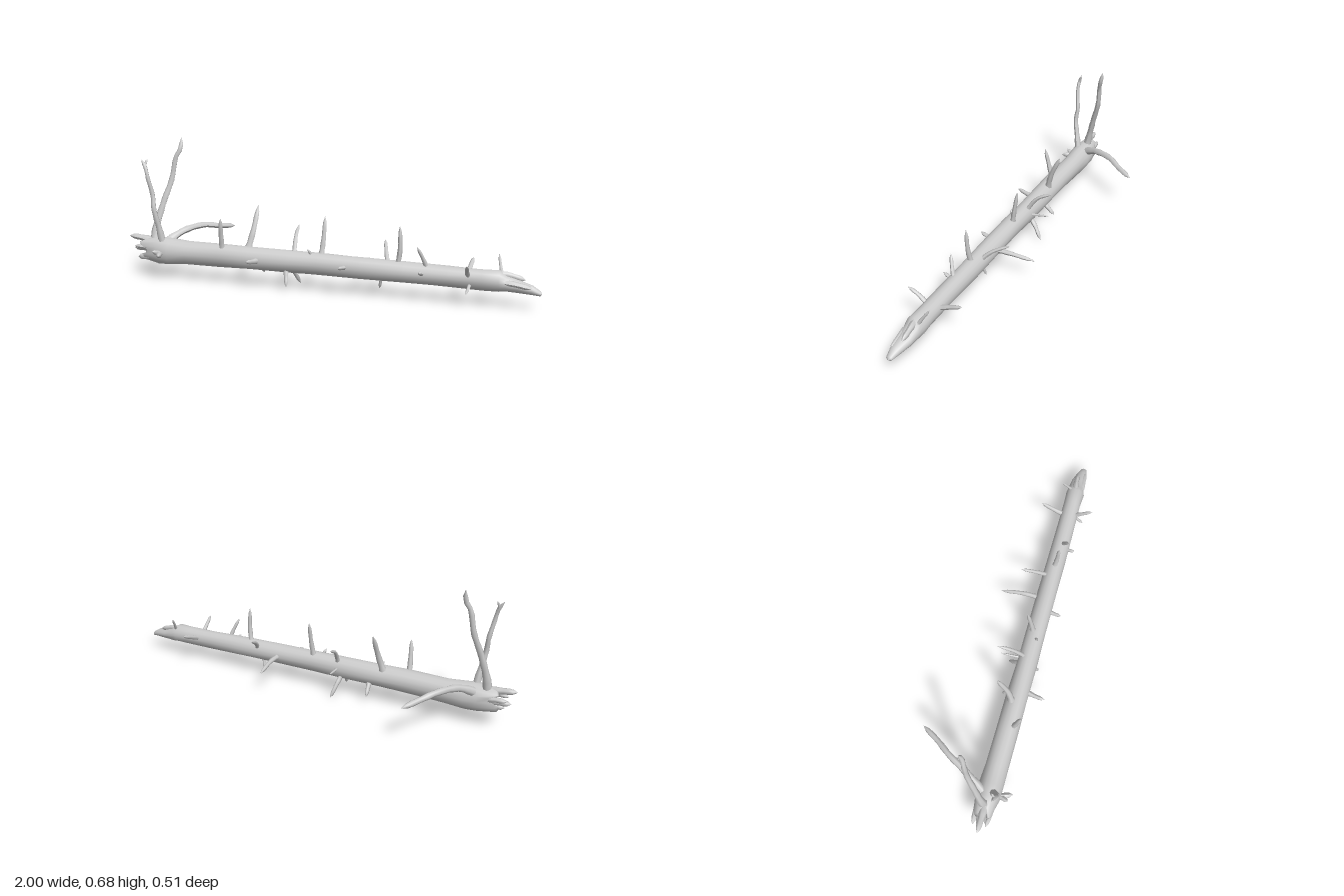
import * as THREE from 'three';

const material = new THREE.MeshStandardMaterial({ color: 0xcccccc, side: THREE.DoubleSide });
const v = (p) => new THREE.Vector3(...p);

function add(group, geometry, name) {
  geometry.computeVertexNormals();
  const mesh = new THREE.Mesh(geometry, material);
  mesh.name = name;
  group.add(mesh);
}

// Closed skin through rings of equal length; rings run along +x
function skin(rings, sides) {
  const pos = rings.flat(2), idx = [];
  for (let i = 0; i < rings.length - 1; i++) {
    for (let j = 0; j < sides; j++) {
      const a = i * sides + j, b = i * sides + (j + 1) % sides;
      idx.push(a, b, a + sides, b, b + sides, a + sides);
    }
  }
  const g = new THREE.BufferGeometry();
  g.setAttribute('position', new THREE.Float32BufferAttribute(pos, 3));
  g.setIndex(idx);
  return g;
}

// Log: each station is x, bottom, top, back, front
function trunk() {
  const stations = [
    [-0.85, 0.12, 0.15, 0.11, 0.14], [-0.91, 0.1, 0.19, 0.085, 0.155],
    [-0.9, 0.085, 0.2, 0.07, 0.165], [-0.83, 0.07, 0.205, 0.062, 0.178],
    [-0.77, 0.068, 0.2, 0.063, 0.18], [-0.68, 0.076, 0.192, 0.066, 0.176],
    [-0.5, 0.078, 0.192, 0.07, 0.178], [-0.35, 0.08, 0.187, 0.072, 0.178],
    [-0.15, 0.078, 0.185, 0.076, 0.176], [0, 0.08, 0.183, 0.078, 0.175],
    [0.2, 0.078, 0.178, 0.08, 0.176], [0.4, 0.077, 0.174, 0.08, 0.174],
    [0.6, 0.075, 0.168, 0.083, 0.172], [0.75, 0.072, 0.165, 0.084, 0.17],
    [0.82, 0.072, 0.166, 0.08, 0.174], [0.85, 0.074, 0.148, 0.084, 0.165],
    [0.9, 0.074, 0.13, 0.09, 0.16], [0.96, 0.071, 0.112, 0.108, 0.158],
    [0.995, 0.068, 0.09, 0.122, 0.15], [1, 0.075, 0.08, 0.133, 0.14],
  ];
  const sides = 16;
  const rings = stations.map(([x, y0, y1, z0, z1], i) =>
    Array.from({ length: sides }, (_, j) => {
      const a = (j / sides) * Math.PI * 2;
      const k = 1 + 0.025 * Math.sin(3 * a + i * 1.9) + 0.02 * Math.sin(5 * a - i * 2.3);
      const ragged = i === 1 || i === 2 ? 0.025 * Math.sin(4 * a + 1) : 0;
      return [x + ragged, (y0 + y1) / 2 + Math.cos(a) * k * (y1 - y0) / 2,
        (z0 + z1) / 2 + Math.sin(a) * k * (z1 - z0) / 2];
    }));
  return skin(rings, sides);
}

// Tapered crooked limb with a flared foot and a broken point
function limb(points, r0, r1, steps = 10, flare = 0.5) {
  const curve = new THREE.CatmullRomCurve3(points.map(v));
  const sides = 7;
  const g = new THREE.TubeGeometry(curve, steps, 1, sides, false);
  const p = g.attributes.position, q = new THREE.Vector3();
  for (let i = 0; i <= steps; i++) {
    const t = i / steps, c = curve.getPointAt(t);
    let r = r0 + (r1 - r0) * t;
    r *= 1 + flare * Math.max(0, 1 - t * 4) + 0.08 * Math.sin(i * 2.4);
    if (i === steps) r = 0.0008;
    for (let j = 0; j <= sides; j++) {
      const n = i * (sides + 1) + j;
      q.fromBufferAttribute(p, n).sub(c).multiplyScalar(r).add(c);
      p.setXYZ(n, q.x, q.y, q.z);
    }
  }
  return g;
}

export function createModel() {
  const model = new THREE.Group();
  model.name = 'fallenLog';
  add(model, trunk(), 'trunk');

  // Long branches near the broken end
  add(model, limb([[-0.86, 0.14, 0.12], [-0.865, 0.22, 0.105], [-0.835, 0.37, 0.065],
    [-0.805, 0.48, 0.03], [-0.785, 0.59, 0.017], [-0.765, 0.63, 0.005], [-0.765, 0.683, -0.007]],
  0.018, 0.01, 18), 'tallBranch');
  add(model, limb([[-0.805, 0.15, 0.135], [-0.815, 0.24, 0.15], [-0.832, 0.35, 0.17],
    [-0.838, 0.41, 0.163], [-0.855, 0.5, 0.175], [-0.866, 0.55, 0.174], [-0.89, 0.59, 0.168]],
  0.015, 0.008, 18), 'slenderBranch');
  add(model, limb([[-0.868, 0.55, 0.174], [-0.868, 0.57, 0.168], [-0.862, 0.592, 0.16]],
    0.008, 0.004, 5, 0), 'branchFork');
  add(model, limb([[-0.83, 0.15, 0.12], [-0.795, 0.19, 0.065], [-0.755, 0.22, 0],
    [-0.7, 0.23, -0.1], [-0.65, 0.215, -0.17], [-0.6, 0.203, -0.255]],
  0.019, 0.012, 16), 'sideBranch');

  // Upright stubs: foot, bend, tip, foot radius
  const upright = [
    [[-0.485, 0.14, 0.14], [-0.482, 0.23, 0.16], [-0.475, 0.325, 0.18], 0.015],
    [[-0.375, 0.14, 0.115], [-0.35, 0.25, 0.085], [-0.342, 0.372, 0.03], 0.017],
    [[0, 0.14, 0.118], [0.01, 0.24, 0.1], [0.012, 0.348, 0.08], 0.014],
    [[0.365, 0.13, 0.125], [0.38, 0.23, 0.135], [0.38, 0.335, 0.14], 0.014],
    [[0.51, 0.13, 0.13], [0.49, 0.195, 0.15], [0.465, 0.252, 0.17], 0.012],
    [[0.835, 0.12, 0.12], [0.82, 0.17, 0.09], [0.808, 0.222, 0.055], 0.009],
    [[-0.03, 0.14, 0.13], [-0.04, 0.18, 0.14], [-0.05, 0.2, 0.15], 0.01],
  ];
  // Stubs pointing to the back
  const back = [
    [[-0.13, 0.14, 0.12], [-0.143, 0.235, 0.055], [-0.155, 0.278, -0.025], 0.012],
    [[0.325, 0.13, 0.12], [0.3, 0.19, 0.06], [0.275, 0.235, -0.022], 0.012],
    [[0.195, 0.125, 0.12], [0.195, 0.13, 0.02], [0.183, 0.118, -0.1], 0.014],
    [[0.68, 0.12, 0.12], [0.682, 0.15, 0.05], [0.687, 0.18, -0.022], 0.014],
    [[-0.13, 0.13, 0.12], [-0.14, 0.14, 0.06], [-0.145, 0.15, -0.008], 0.008],
  ];
  // Stubs pointing to the front
  const front = [
    [[0.69, 0.12, 0.14], [0.688, 0.165, 0.19], [0.695, 0.2, 0.243], 0.012],
    [[-0.29, 0.13, 0.14], [-0.305, 0.135, 0.2], [-0.315, 0.145, 0.255], 0.015],
    [[0.13, 0.13, 0.14], [0.128, 0.135, 0.18], [0.12, 0.142, 0.225], 0.013],
    [[-0.83, 0.12, 0.13], [-0.805, 0.13, 0.18], [-0.785, 0.13, 0.228], 0.02],
    [[-0.8, 0.13, 0.13], [-0.81, 0.135, 0.18], [-0.825, 0.15, 0.215], 0.016],
    [[0.49, 0.12, 0.14], [0.485, 0.135, 0.175], [0.48, 0.145, 0.205], 0.012],
  ];
  // Stubs pointing down
  const lower = [
    [[-0.16, 0.12, 0.115], [-0.148, 0.07, 0.07], [-0.13, 0.004, 0.028], 0.014],
    [[-0.305, 0.12, 0.11], [-0.308, 0.085, 0.075], [-0.312, 0.048, 0.043], 0.014],
    [[-0.16, 0.12, 0.14], [-0.155, 0.075, 0.16], [-0.145, 0.024, 0.185], 0.013],
    [[0.3, 0.12, 0.12], [0.29, 0.08, 0.115], [0.28, 0.035, 0.104], 0.01],
    [[0.7, 0.12, 0.13], [0.695, 0.095, 0.165], [0.688, 0.068, 0.203], 0.01],
  ];
  Object.entries({ upright, back, front, lower }).forEach(([side, list]) =>
    list.forEach(([foot, bend, tip, r]) =>
      add(model, limb([foot, bend, tip], r, r * 0.55, 8), side + 'Stub')));

  // Splintered wood at the broken end
  const splinters = [
    [[-0.84, 0.175, 0.12], [-0.93, 0.192, 0.12], [-1, 0.2, 0.122], 0.022],
    [[-0.84, 0.135, 0.11], [-0.92, 0.14, 0.11], [-0.978, 0.138, 0.115], 0.023],
    [[-0.84, 0.11, 0.135], [-0.9, 0.105, 0.14], [-0.945, 0.1, 0.14], 0.024],
    [[-0.84, 0.15, 0.09], [-0.91, 0.16, 0.085], [-0.965, 0.16, 0.088], 0.018],
    [[-0.84, 0.15, 0.15], [-0.91, 0.155, 0.153], [-0.96, 0.155, 0.148], 0.016],
  ];
  splinters.forEach(([foot, bend, tip, r]) =>
    add(model, limb([foot, bend, tip], r, r * 0.5, 8, 0.2), 'splinter'));

  // Loose shards on the tapered end
  [[[0.8, 0.145, 0.13], [0.85, 0.146, 0.12], [0.93, 0.128, 0.115]],
    [[0.8, 0.12, 0.15], [0.88, 0.115, 0.152], [0.97, 0.098, 0.148]]].forEach((path) =>
    add(model, limb(path, 0.018, 0.01, 8, 0), 'shard'));
  return model;
}
